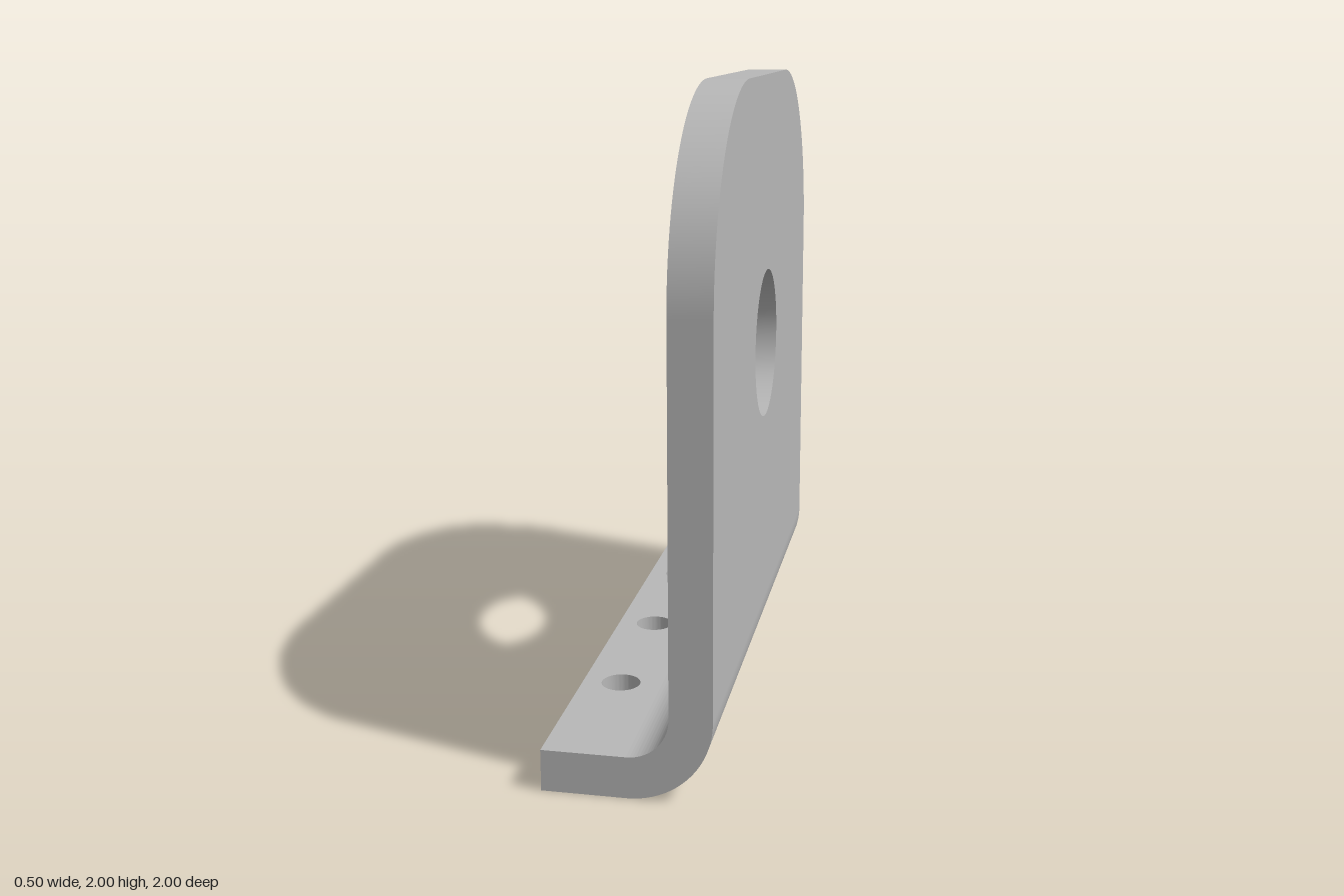
import * as THREE from 'three';
import { toCreasedNormals } from 'three/addons/utils/BufferGeometryUtils.js';

const W = 0.994;        // half width along z
const T = 0.126;        // sheet thickness
const BEND = 0.25;      // outer bend radius
const BASE = 0.0075;    // underside height
const TOP = 1.996;
const CORNER = 0.6;
const JOIN = BASE + BEND;

function hole(shape, x, y, r) {
  const path = new THREE.Path();
  path.absarc(x, y, r, 0, Math.PI * 2, true);
  shape.holes.push(path);
}

function extrude(shape, depth) {
  return new THREE.ExtrudeGeometry(shape, { depth, bevelEnabled: false, curveSegments: 32 });
}

// Drops the walls buried where two sections meet: component 0 is x, 1 is y
function openAt(geometry, planes) {
  const p = geometry.toNonIndexed ? (geometry.index ? geometry.toNonIndexed() : geometry).attributes.position : null;
  const kept = [];
  for (let i = 0; i < p.count; i += 3) {
    const buried = planes.some(([axis, value]) =>
      [0, 1, 2].every(k => Math.abs(p.getComponent(i + k, axis) - value) < 1e-5));
    if (buried) continue;
    for (let k = 0; k < 3; k++) kept.push(p.getX(i + k), p.getY(i + k), p.getZ(i + k));
  }
  const out = new THREE.BufferGeometry();
  out.setAttribute('position', new THREE.Float32BufferAttribute(kept, 3));
  return toCreasedNormals(out, 0.5);
}

export function createModel() {
  const group = new THREE.Group();
  group.name = 'angleBracket';
  const metal = new THREE.MeshStandardMaterial({ color: 0xb8b8b8 });
  metal.name = 'grey metal';

  // Tilts the sheet very slightly about the x axis, around mid height
  const body = new THREE.Group();
  body.name = 'bentSheet';
  body.rotation.x = 0.0075;
  body.position.y = 1;
  group.add(body);

  const add = (name, geometry) => {
    const mesh = new THREE.Mesh(geometry, metal);
    mesh.name = name;
    mesh.position.y = -1;
    body.add(mesh);
  };

  // Upright plate with two rounded top corners and a large hole
  const plate = new THREE.Shape();
  plate.moveTo(-W, JOIN);
  plate.lineTo(W, JOIN);
  plate.lineTo(W, TOP - CORNER);
  plate.absarc(W - CORNER, TOP - CORNER, CORNER, 0, Math.PI / 2);
  plate.absarc(CORNER - W, TOP - CORNER, CORNER, Math.PI / 2, Math.PI);
  plate.closePath();
  hole(plate, -0.002, 1.136, 0.24);
  const plateGeo = extrude(plate, T).rotateY(Math.PI / 2).translate(BEND - T, 0, 0);
  add('uprightPlate', openAt(plateGeo, [[1, JOIN]]));

  // Quarter bend
  const bend = new THREE.Shape();
  bend.moveTo(0, BASE);
  bend.absarc(0, JOIN, BEND, -Math.PI / 2, 0, false);
  bend.absarc(0, JOIN, BEND - T, 0, -Math.PI / 2, true);
  bend.closePath();
  const bendGeo = extrude(bend, 2 * W).translate(0, 0, -W);
  add('bend', openAt(bendGeo, [[0, 0], [1, JOIN]]));

  // Foot flange with three screw holes
  const flange = new THREE.Shape();
  flange.moveTo(-0.25, -W);
  flange.lineTo(0, -W);
  flange.lineTo(0, W);
  flange.lineTo(-0.25, W);
  flange.closePath();
  for (const z of [-0.5, 0, 0.5]) hole(flange, -0.13, z, 0.061);
  const flangeGeo = extrude(flange, T).rotateX(-Math.PI / 2).translate(0, BASE, 0);
  add('footFlange', openAt(flangeGeo, [[0, 0]]));

  return group;
}
